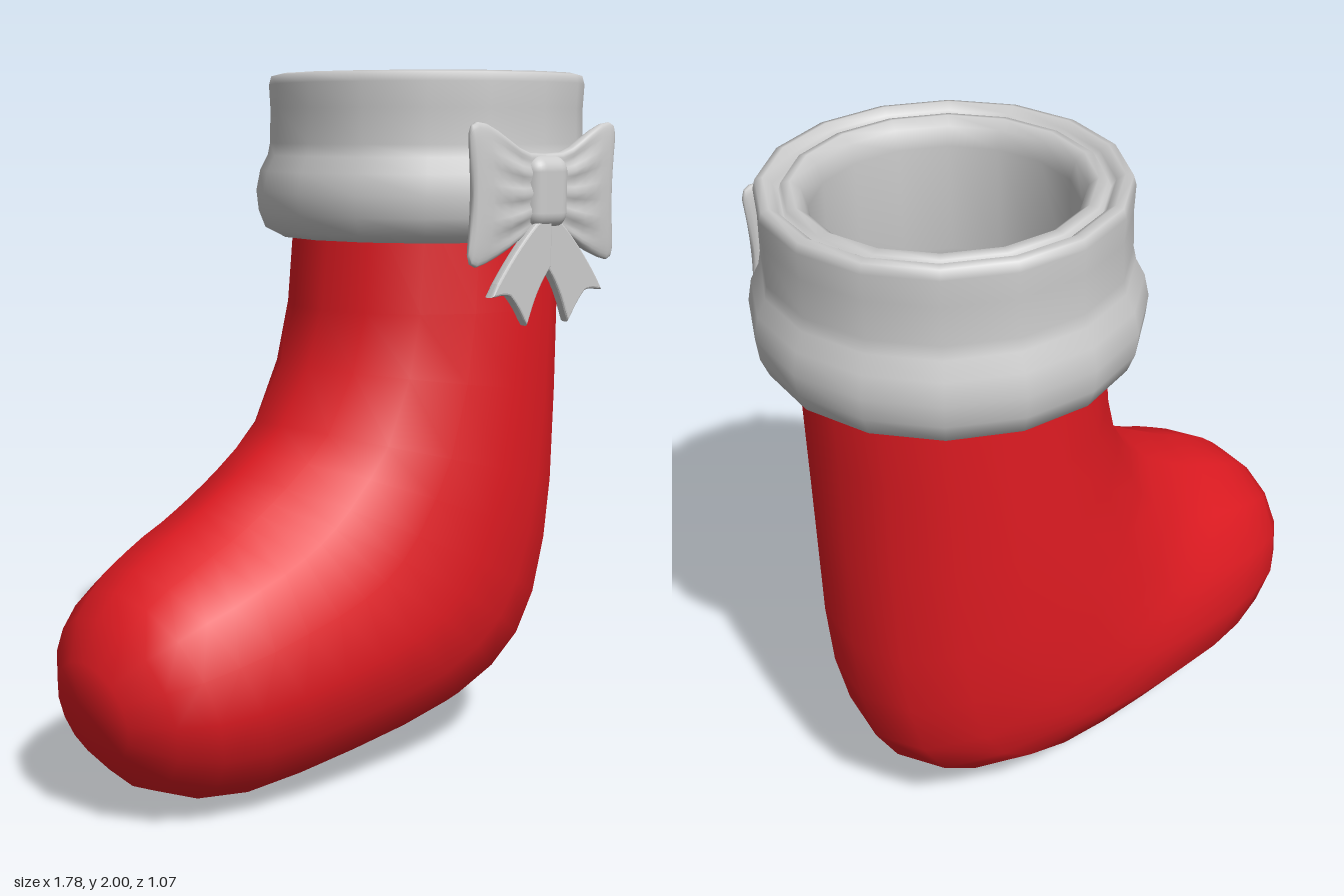
import * as THREE from 'three';
import { RoundedBoxGeometry } from 'three/addons/geometries/RoundedBoxGeometry.js';

const SIDES = 16;
const grey = new THREE.MeshStandardMaterial({ color: 0xcccccc });
const greyDouble = new THREE.MeshStandardMaterial({ color: 0xcccccc, side: THREE.DoubleSide });
const red = new THREE.MeshStandardMaterial({ color: 0xe01b22, side: THREE.DoubleSide });

function add(parent, name, geometry, material) {
  const mesh = new THREE.Mesh(geometry, material);
  mesh.name = name;
  parent.add(mesh);
  return mesh;
}

// Smooth skin over closed rings of points, ending in one pole point.
function loft(rings, pole) {
  const n = rings[0].length;
  const points = [...rings.flat(), pole];
  const index = [];
  for (let i = 0; i < rings.length; i++) {
    for (let j = 0; j < n; j++) {
      const a = i * n + j, b = i * n + (j + 1) % n;
      if (i === rings.length - 1) index.push(a, b, points.length - 1);
      else index.push(a, b, a + n, b, b + n, a + n);
    }
  }
  const g = new THREE.BufferGeometry().setFromPoints(points);
  g.setIndex(index);
  g.computeVertexNormals();
  return g;
}

// Sections of the sock: heel/sole point, shin/instep point, half width.
function sockGeometry() {
  const sections = [
    [0.78, 1.62, -0.01, 1.62, 0.395], [0.78, 1.33, -0.04, 1.33, 0.4],
    [0.78, 1.05, -0.09, 1.17, 0.405], [0.78, 0.75, -0.19, 1.01, 0.41],
    [0.765, 0.55, -0.27, 0.945, 0.41], [0.725, 0.37, -0.35, 0.89, 0.41],
    [0.65, 0.24, -0.40, 0.86, 0.41], [0.53, 0.15, -0.44, 0.835, 0.41],
    [0.37, 0.09, -0.48, 0.81, 0.41], [0.18, 0.055, -0.53, 0.78, 0.408],
    [-0.03, 0.03, -0.59, 0.75, 0.402], [-0.24, 0.01, -0.65, 0.715, 0.39],
    [-0.43, 0.0, -0.71, 0.68, 0.365], [-0.60, 0.025, -0.77, 0.63, 0.33],
    [-0.73, 0.08, -0.83, 0.57, 0.27], [-0.83, 0.18, -0.88, 0.46, 0.16],
  ];
  const rings = sections.map(([ax, ay, bx, by, w]) =>
    Array.from({ length: SIDES }, (_, j) => {
      const t = (j / SIDES) * Math.PI * 2, k = (1 + Math.cos(t)) / 2;
      return new THREE.Vector3(bx + (ax - bx) * k, by + (ay - by) * k, w * Math.sin(t) - 0.03);
    }));
  return loft(rings, new THREE.Vector3(-0.895, 0.35, -0.03));
}

// Bow loop growing along +x: distance, top, bottom, half thickness.
function loopGeometry() {
  const rows = [
    [0, 0.105, -0.1, 0.02], [0.06, 0.108, -0.108, 0.024], [0.1, 0.122, -0.13, 0.026],
    [0.14, 0.145, -0.153, 0.027], [0.18, 0.168, -0.172, 0.026], [0.22, 0.186, -0.188, 0.024],
    [0.25, 0.19, -0.196, 0.021], [0.268, 0.182, -0.188, 0.016], [0.277, 0.16, -0.165, 0.009],
  ];
  const n = 48;
  const rings = rows.map(([x, top, bottom, depth]) =>
    Array.from({ length: n }, (_, j) => {
      const t = (j / n) * Math.PI * 2, c = Math.cos(t), s = Math.sin(t);
      const fade = Math.max(0, 1 - Math.abs(x - 0.11) / 0.11);
      const fold = 1 + 0.28 * fade * Math.cos(c * 13);
      const pinch = x > 0.2 ? 0.014 * (1 - c * c) : 0;
      return new THREE.Vector3(x - pinch, (top + bottom) / 2 + c * (top - bottom) / 2,
        Math.sign(s) * Math.abs(s) ** 0.6 * depth * fold);
    }));
  return loft(rings, new THREE.Vector3(0.262, 0, 0));
}

// Ribbon tail with a notched end.
function tailGeometry() {
  const s = new THREE.Shape();
  s.moveTo(0, -0.06);
  s.lineTo(0.05, -0.09);
  s.quadraticCurveTo(0.13, -0.16, 0.208, -0.272);
  s.quadraticCurveTo(0.17, -0.262, 0.145, -0.272);
  s.quadraticCurveTo(0.11, -0.305, 0.084, -0.352);
  s.quadraticCurveTo(0.055, -0.26, 0, -0.2);
  s.closePath();
  return new THREE.ExtrudeGeometry(s, {
    depth: 0.012, bevelEnabled: true, bevelThickness: 0.01, bevelSize: 0.007, bevelSegments: 3, curveSegments: 8,
  });
}

export function createModel() {
  const model = new THREE.Group();
  model.name = 'stocking';
  add(model, 'sock', sockGeometry(), red);

  // Cuff: rolled lower band, upright wall, double rim and inner lining
  const profile = [
    [0.37, 1.535], [0.44, 1.53], [0.48, 1.55], [0.5, 1.6], [0.507, 1.66], [0.495, 1.72],
    [0.472, 1.765], [0.465, 1.8], [0.463, 1.9], [0.467, 1.97], [0.46, 1.995], [0.44, 2.0],
    [0.418, 1.985], [0.405, 1.965], [0.398, 1.985], [0.375, 1.99], [0.35, 1.97], [0.336, 1.92],
    [0.336, 1.62], [0.37, 1.535],
  ].map(([r, y]) => new THREE.Vector2(r, y));
  const cuff = add(model, 'cuff', new THREE.LatheGeometry(profile, SIDES), greyDouble);
  cuff.position.set(0.38, 0, -0.03);

  // Bow: mirrored loops and tails around a knot
  const bow = new THREE.Group();
  bow.name = 'bow';
  bow.position.set(0.32, 1.67, 0.485);
  bow.rotation.y = -0.08;
  model.add(bow);
  const loop = loopGeometry(), tail = tailGeometry();
  for (const side of [1, -1]) {
    const label = side > 0 ? 'left' : 'right';
    add(bow, label + 'Loop', loop, greyDouble).scale.x = side;
    const t = add(bow, label + 'Tail', tail, grey);
    t.scale.x = side;
    t.position.z = side > 0 ? 0.004 : 0.012;
  }
  add(bow, 'knot', new RoundedBoxGeometry(0.145, 0.2, 0.09, 4, 0.044), grey);
  return model;
}
